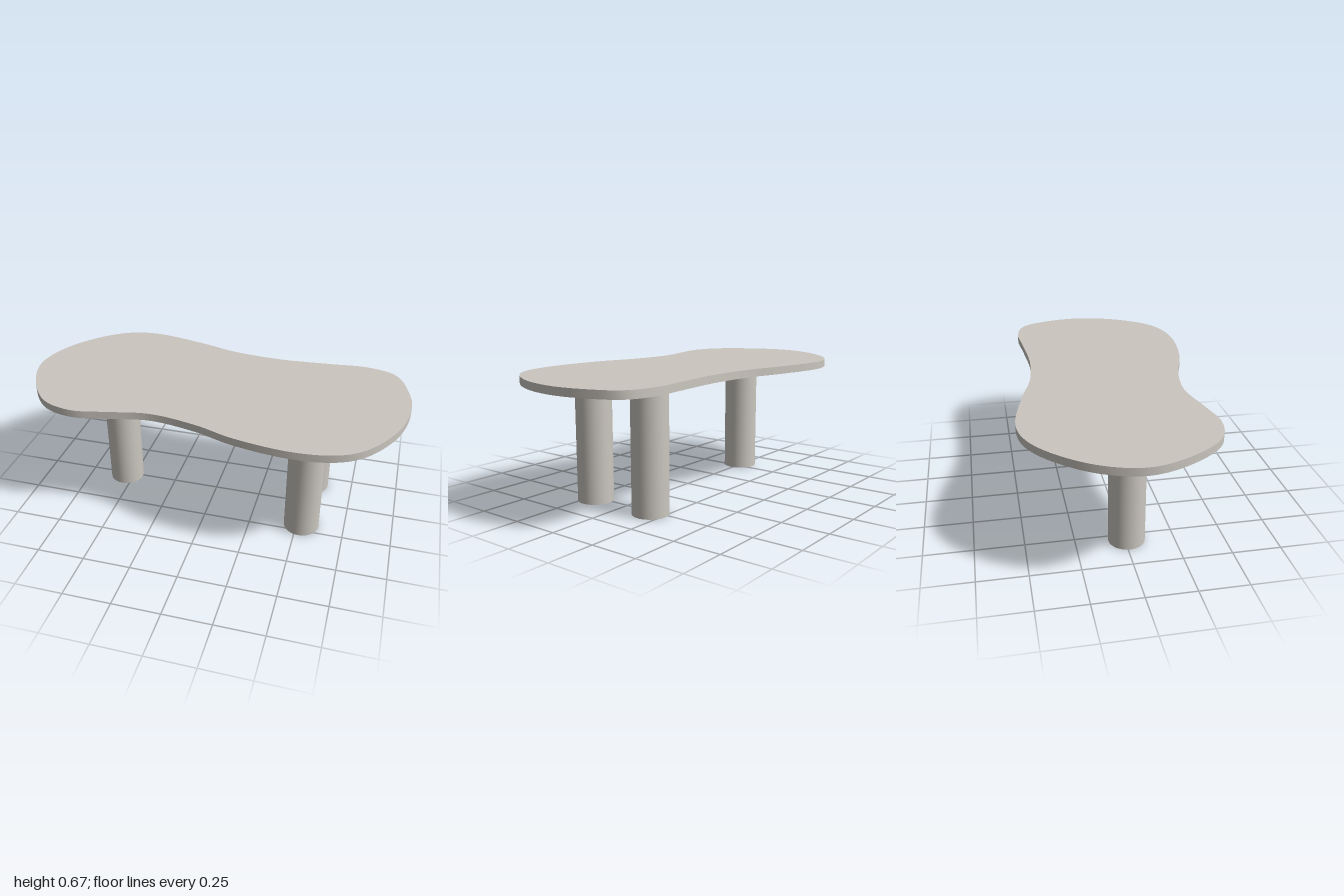
import * as THREE from 'three';
import { toCreasedNormals } from 'three/addons/utils/BufferGeometryUtils.js';

const LEG_HEIGHT = 0.633, LEG_RADIUS = 0.093, TOP_THICKNESS = 0.04;

// Freeform outline of the top as [x, z] points
const OUTLINE = [
  [-1, 0], [-0.945, -0.2], [-0.79, -0.395], [-0.65, -0.485], [-0.5, -0.51], [-0.2, -0.455],
  [0, -0.4], [0.27, -0.375], [0.55, -0.392], [0.75, -0.405], [0.9, -0.355], [0.975, -0.2],
  [1, -0.02], [0.95, 0.2], [0.82, 0.4], [0.7, 0.475], [0.5, 0.505], [0.2, 0.465],
  [0, 0.4], [-0.25, 0.362], [-0.48, 0.405], [-0.64, 0.43], [-0.8, 0.38], [-0.94, 0.2],
];

// Leg positions as [x, z]
const LEGS = [[-0.54, 0.01], [0.525, 0.197], [0.525, -0.176]];

export function createModel() {
  const group = new THREE.Group();
  group.name = 'coffeeTable';
  const stone = new THREE.MeshStandardMaterial({ color: 0xcbc6bf });
  stone.name = 'warm grey stone';

  // Table top: smooth closed curve, extruded and laid flat
  const curve = new THREE.CatmullRomCurve3(
    OUTLINE.map(([x, z]) => new THREE.Vector3(x, -z, 0)), true, 'centripetal');
  const points = curve.getSpacedPoints(160).slice(0, -1);
  const shape = new THREE.Shape(points.map((p) => new THREE.Vector2(p.x, p.y)));
  const slab = new THREE.ExtrudeGeometry(shape, { depth: TOP_THICKNESS, bevelEnabled: false });
  slab.rotateX(-Math.PI / 2);
  const top = new THREE.Mesh(toCreasedNormals(slab, Math.PI / 5), stone);
  top.name = 'tableTop';
  top.position.y = LEG_HEIGHT;
  group.add(top);

  // Three round legs
  const legGeometry = new THREE.CylinderGeometry(LEG_RADIUS, LEG_RADIUS, LEG_HEIGHT, 48);
  LEGS.forEach(([x, z], i) => {
    const leg = new THREE.Mesh(legGeometry, stone);
    leg.name = `leg${i + 1}`;
    leg.position.set(x, LEG_HEIGHT / 2, z);
    group.add(leg);
  });

  return group;
}
